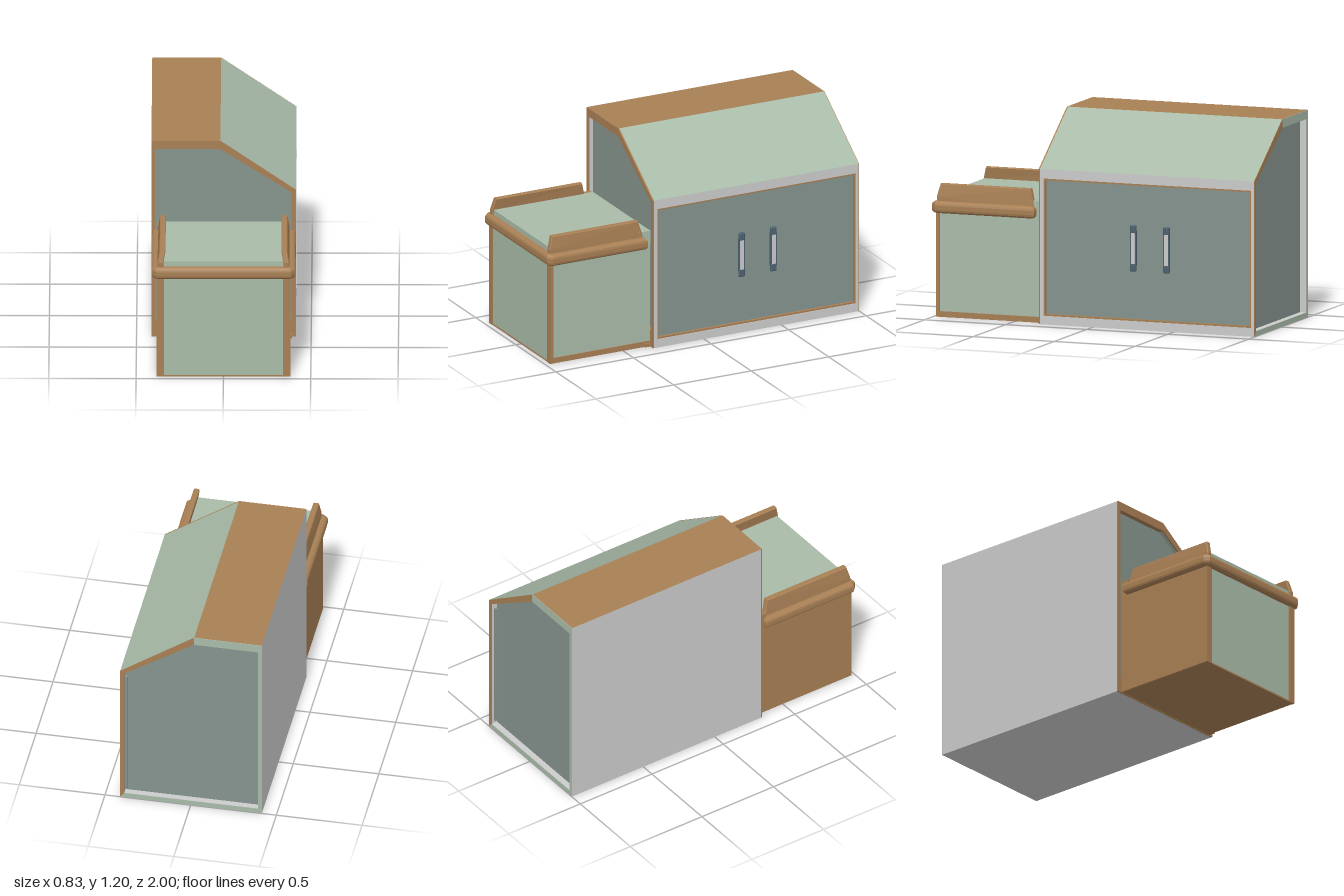
import * as THREE from 'three';
import { RoundedBoxGeometry } from 'three/addons/geometries/RoundedBoxGeometry.js';

const mat = (color) => new THREE.MeshStandardMaterial({ color, flatShading: true });

export function createModel() {
  const model = new THREE.Group();
  const grey = mat(0xcccccc), wood = mat(0xa87f54), sage = mat(0xa9bba8);
  const slate = mat(0x85938d), dark = mat(0x4c6270);

  const add = (parent, name, geometry, material) => {
    const mesh = new THREE.Mesh(geometry, material);
    mesh.name = name;
    parent.add(mesh);
    return mesh;
  };
  // Box given by its min and max on each axis
  const box = (parent, name, material, x0, x1, y0, y1, z0, z1) => {
    const g = new THREE.BoxGeometry(x1 - x0, y1 - y0, z1 - z0);
    g.translate((x0 + x1) / 2, (y0 + y1) / 2, (z0 + z1) / 2);
    return add(parent, name, g, material);
  };
  // Prism with an x-y outline between two z values
  const prism = (parent, name, material, points, z0, z1) => {
    const shape = new THREE.Shape(points.map(([x, y]) => new THREE.Vector2(x, y)));
    const g = new THREE.ExtrudeGeometry(shape, { depth: z1 - z0, bevelEnabled: false });
    g.translate(0, 0, z0);
    return add(parent, name, g, material);
  };

  // Main cabinet: a shell of mitred walls with a sloped roof
  const cabinet = new THREE.Group();
  cabinet.name = 'cabinet';
  model.add(cabinet);
  const outer = [[-0.415, 0], [-0.415, 1.2], [-0.02, 1.2], [0.412, 0.9], [0.412, 0]];
  const inner = [[-0.393, 0.03], [-0.393, 1.15], [-0.02, 1.15], [0.388, 0.885], [0.388, 0.03]];
  const walls = [
    ['leftWall', grey, sage], ['flatRoof', wood, sage], ['slopedRoof', sage, wood],
    ['rightWall', null, wood], ['floor', grey, sage],
  ];
  walls.forEach(([name, wallMat, backMat], i) => {
    const j = (i + 1) % 5;
    const quad = [outer[i], outer[j], inner[j], inner[i]];
    if (wallMat) prism(cabinet, name, wallMat, quad, -0.997, 0.322);
    prism(cabinet, name + 'FrontTrim', wood, quad, 0.322, 0.33);
    prism(cabinet, name + 'BackTrim', backMat, quad, -1, -0.997);
  });
  box(cabinet, 'frontLowerRail', wood, -0.393, 0.388, 0.03, 0.1, 0.3, 0.33);
  prism(cabinet, 'frontPanel', slate, inner, 0.285, 0.3);
  prism(cabinet, 'backPanel', slate, inner, -0.96, -0.945);

  // Right wall: grey frame, wood trim and recessed door panel
  const frame = (name, material, x0, x1, [y0, y1, z0, z1], [a0, a1, b0, b1]) => {
    box(cabinet, name + 'Bottom', material, x0, x1, y0, a0, z0, z1);
    box(cabinet, name + 'Top', material, x0, x1, a1, y1, z0, z1);
    box(cabinet, name + 'Rear', material, x0, x1, a0, a1, z0, b0);
    box(cabinet, name + 'Front', material, x0, x1, a0, a1, b1, z1);
  };
  const opening = [0.05, 0.845, -0.98, 0.3];
  frame('sideFrame', grey, 0.388, 0.412, [0, 0.9, -0.997, 0.322], opening);
  frame('doorTrim', wood, 0.388, 0.408, opening, [0.06, 0.835, -0.97, 0.29]);
  box(cabinet, 'doorPanel', slate, 0.375, 0.391, 0.05, 0.845, -0.98, 0.3);

  // Door handles: dark end caps and side rails around a pale bar
  for (const z of [-0.248, -0.453]) {
    const handle = new THREE.Group();
    handle.name = 'doorHandle';
    handle.position.set(0.4, 0.47, z);
    cabinet.add(handle);
    for (const s of [-1, 1]) {
      const cap = new RoundedBoxGeometry(0.02, 0.05, 0.038, 2, 0.008);
      add(handle, 'handleCap', cap, dark).position.set(0, s * 0.11, 0);
      box(handle, 'handleRail', dark, -0.01, 0.006, -0.1, 0.1, s * 0.015 - 0.004, s * 0.015 + 0.004);
    }
    box(handle, 'handleBar', grey, -0.006, 0.009, -0.09, 0.09, -0.012, 0.012);
  }

  // Counter in front of the cabinet
  const counter = new THREE.Group();
  counter.name = 'counter';
  model.add(counter);
  box(counter, 'counterBody', sage, -0.36, 0.375, 0.01, 0.64, 0.33, 0.97);
  box(counter, 'counterTop', sage, -0.345, 0.372, 0.62, 0.705, 0.325, 0.965);
  box(counter, 'counterLeftWall', wood, -0.383, -0.345, 0.004, 0.64, 0.33, 0.96);
  box(counter, 'leftBackPost', wood, -0.383, -0.345, 0.6, 0.7, 0.325, 0.38);
  box(counter, 'counterBase', wood, -0.378, 0.378, 0.003, 0.012, 0.33, 0.972);
  box(counter, 'rightSkirting', wood, 0.36, 0.38, 0.004, 0.036, 0.33, 0.96);
  box(counter, 'rightBackFoot', wood, 0.36, 0.39, 0.004, 0.025, 0.33, 0.37);
  for (const s of [-1, 1]) {
    const x = s * 0.3615;
    box(counter, 'cornerPost', wood, x - 0.0215, x + 0.0215, 0.004, 0.64, 0.955, 0.976);
  }

  // Rounded rim running around three sides of the counter
  const rim = new THREE.Shape();
  const b = 0.025, ox = 0.413 - b, oz = 1 - b, ix = 0.36, iz = 0.945, back = 0.36 + b;
  [[-ox, back], [-ox, oz - 0.012], [-ox + 0.012, oz], [ox - 0.012, oz], [ox, oz - 0.012],
    [ox, back], [ix, back], [ix, iz], [-ix, iz], [-ix, back]]
    .forEach(([x, z], i) => (i ? rim.lineTo(x, -z) : rim.moveTo(x, -z)));
  const rimGeo = new THREE.ExtrudeGeometry(rim, {
    depth: 0.024, bevelThickness: 0.023, bevelSize: b, bevelSegments: 3,
  });
  rimGeo.rotateX(-Math.PI / 2).translate(0, 0.628, 0);
  add(counter, 'counterRim', rimGeo, wood);

  // Side boards leaning inward, with their top corners cut off
  for (const s of [-1, 1]) {
    const board = new THREE.Shape();
    [[0.37, 0.64], [0.38, 0.7], [0.4, 0.773], [0.955, 0.773], [0.975, 0.7], [0.975, 0.64]]
      .forEach(([z, y], i) => (i ? board.lineTo(-z, y) : board.moveTo(-z, y)));
    const g = new THREE.ExtrudeGeometry(board, {
      depth: 0.024, bevelThickness: 0.005, bevelSize: 0.004, bevelOffset: -0.004, bevelSegments: 1,
    });
    g.translate(0, 0, -0.012).rotateY(Math.PI / 2);
    const p = g.attributes.position;
    for (let i = 0; i < p.count; i++) {
      const lean = Math.max(0, p.getY(i) - 0.69) * 0.16;
      p.setX(i, p.getX(i) + s * (0.361 - lean));
    }
    g.computeVertexNormals();
    add(counter, s > 0 ? 'leftBoard' : 'rightBoard', g, wood);
  }
  return model;
}
